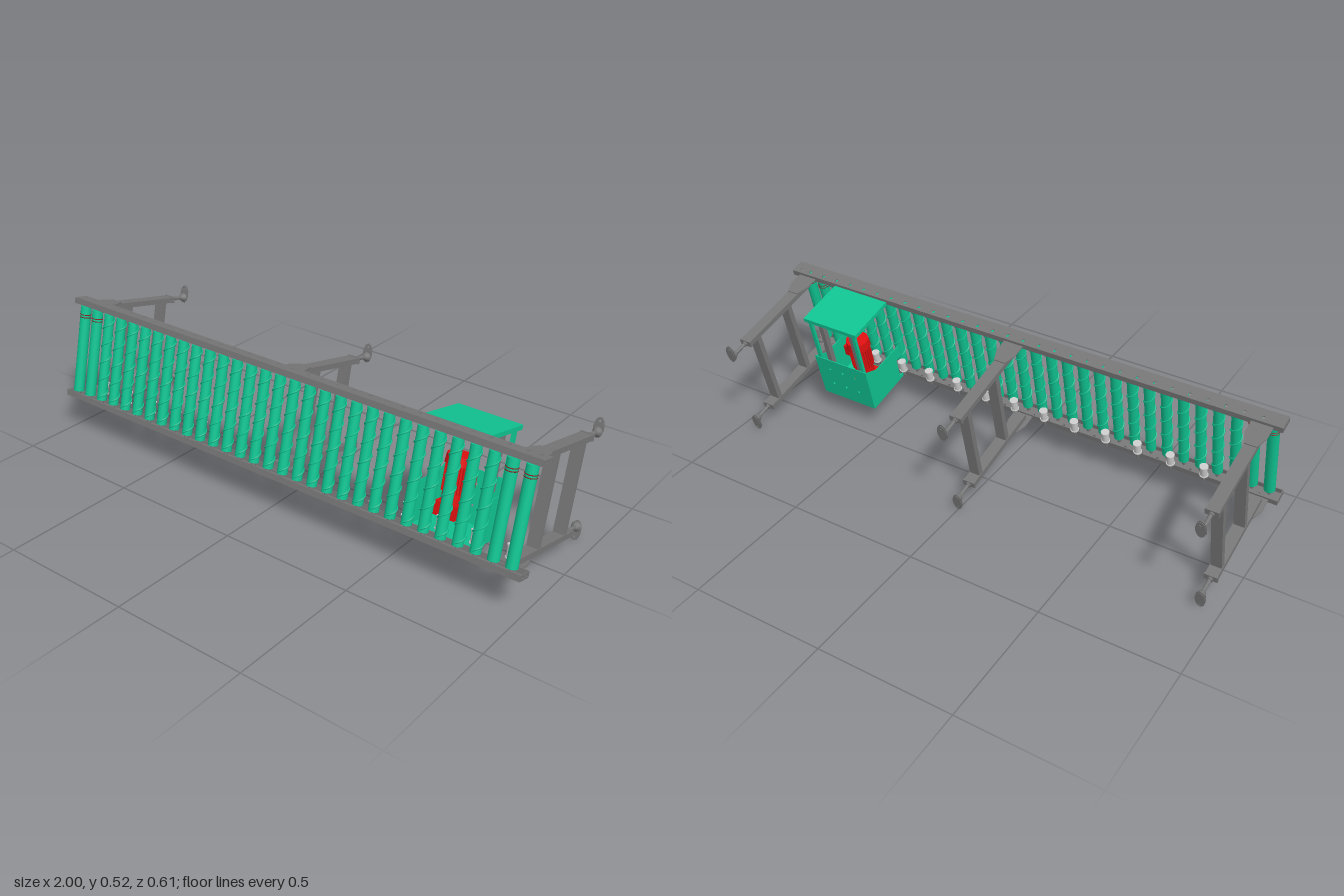
import * as THREE from 'three';

const mat = (color, side = THREE.FrontSide) => new THREE.MeshStandardMaterial({ color, side });
const GREEN = mat(0x10c492), STEEL = mat(0x777777), RED = mat(0xe01010), PALE = mat(0xcccccc), DARK = mat(0x882222);

function add(parent, name, geo, material, x = 0, y = 0, z = 0) {
  const m = new THREE.Mesh(geo, material);
  m.name = name;
  m.position.set(x, y, z);
  parent.add(m);
  return m;
}

// box given by its limits on each axis
function block(parent, name, material, [x0, x1], [y0, y1], [z0, z1]) {
  return add(parent, name, new THREE.BoxGeometry(x1 - x0, Math.abs(y1 - y0), z1 - z0), material,
    (x0 + x1) / 2, (y0 + y1) / 2, (z0 + z1) / 2);
}

const cyl = (rTop, rBottom, h, n = 24) => new THREE.CylinderGeometry(rTop, rBottom, h, n);
const polygon = pts => new THREE.Shape(pts.map(p => new THREE.Vector2(...p)));
const hole = (x, y, rx, ry) => new THREE.Path().absellipse(x, y, rx, ry, 0, Math.PI * 2);
const extrude = (shape, depth) => new THREE.ExtrudeGeometry(shape, { depth, bevelEnabled: false, curveSegments: 8 });

const COUNT = 31, PITCH = 0.0638, ROLL_Z = 0.315;
const rollerX = i => (i - (COUNT - 1) / 2) * PITCH;

// spiral rib wound round a roller
class Helix extends THREE.Curve {
  getPoint(t, out = new THREE.Vector3()) {
    const a = t * Math.PI * 2 * 4.5;
    return out.set(0.0195 * Math.sin(a), (t - 0.5) * 0.31, 0.0195 * Math.cos(a));
  }
}

function addRollers(root) {
  const tube = cyl(0.0185, 0.0185, 0.334), axle = cyl(0.007, 0.007, 0.385, 8);
  const rib = new THREE.TubeGeometry(new Helix(), 90, 0.0032, 5);
  const plain = cyl(0.02, 0.02, 0.334), ring = new THREE.TorusGeometry(0.02, 0.0018, 6, 24).rotateX(Math.PI / 2);
  for (let i = 0; i < COUNT; i++) {
    const roller = new THREE.Group();
    roller.name = 'roller';
    roller.position.set(rollerX(i), 0, ROLL_Z);
    root.add(roller);
    const end = i < 2 || i > COUNT - 3;
    add(roller, 'rollerTube', end ? plain : tube, GREEN);
    add(roller, 'axle', axle, STEEL);
    if (end) for (const y of [0.126, 0.136]) add(roller, 'beltGroove', ring, DARK, 0, y);
    else add(roller, 'spiralRib', rib, GREEN);
  }
  // small guide pulleys behind the lower roller ends
  const pulley = cyl(0.013, 0.013, 0.045, 16), flange = cyl(0.016, 0.016, 0.004, 16);
  for (let i = 1; i < COUNT - 1; i += 2) {
    const x = rollerX(i) + PITCH / 2;
    add(root, 'guidePulley', pulley, PALE, x, -0.138, 0.272);
    for (const y of [-0.158, -0.116]) add(root, 'pulleyFlange', flange, PALE, x, y, 0.272);
    add(root, 'pulleyPin', cyl(0.005, 0.005, 0.03, 8), STEEL, x, -0.172, 0.272);
  }
}

// channel rail with slotted web; s = 1 upper, -1 lower
function addRail(root, s) {
  const web = polygon([[-1, 0.278], [1, 0.278], [1, 0.335], [-1, 0.335]]);
  for (let i = 0; i < COUNT; i++) web.holes.push(hole(rollerX(i) + PITCH / 2 * (i < COUNT - 1 ? 1 : 0.3), 0.296, 0.006, 0.007));
  add(root, 'railWeb', extrude(web, 0.003).rotateX(Math.PI / 2), STEEL, 0, s > 0 ? 0.194 : -0.191);
  for (const z of [0.278, 0.332]) block(root, 'railFlange', STEEL, [-1, 1], [s * 0.172, s * 0.194], [z, z + 0.003]);
  // end plates with two bolt holes
  const cap = polygon([[0.278, -0.011], [0.335, -0.011], [0.335, 0.011], [0.278, 0.011]]);
  cap.holes.push(hole(0.294, 0, 0.004, 0.004), hole(0.316, 0, 0.004, 0.004));
  for (const x of [-0.997, 1]) add(root, 'railEndPlate', extrude(cap, 0.003).rotateY(-Math.PI / 2), STEEL, x, s * 0.183);
}

// one leg with gusset, collar, screw and foot
function addLeg(stand, s) {
  const y = s * 0.168;
  block(stand, 'legBeam', STEEL, [-0.022, 0.022], [y - 0.01, y + 0.01], [-0.107, 0.26]);
  const gusset = polygon([[-0.022, 0.18], [0.022, 0.18], [0.038, 0.225], [0.038, 0.29], [-0.038, 0.29], [-0.038, 0.225]]);
  add(stand, 'gusset', extrude(gusset, 0.004).rotateX(Math.PI / 2), STEEL, 0, s > 0 ? 0.183 : -0.179);
  block(stand, 'collar', STEEL, [-0.024, 0.024], [y - 0.012, y + 0.012], [-0.113, -0.103]);
  add(stand, 'screw', cyl(0.007, 0.007, 0.08, 10).rotateX(Math.PI / 2), STEEL, 0, y, -0.145);
  add(stand, 'lockNut', cyl(0.011, 0.011, 0.008, 6).rotateX(Math.PI / 2), STEEL, 0, y, -0.118);
  add(stand, 'footBell', cyl(0.009, 0.018, 0.02, 16).rotateX(Math.PI / 2), STEEL, 0, y, -0.179);
  // oval foot plates, reaching outward
  const oval = new THREE.Shape().absellipse(0, y + s * 0.014, 0.018, 0.036, 0, Math.PI * 2);
  oval.holes.push(hole(0, y + s * 0.037, 0.005, 0.005));
  for (const z of [-0.19, -0.196]) add(stand, 'footPlate', extrude(oval, 0.002), STEEL, 0, 0, z);
}

function addStand(root, x) {
  const stand = new THREE.Group();
  stand.name = 'stand';
  stand.position.x = x;
  root.add(stand);
  for (const s of [1, -1]) addLeg(stand, s);
  for (const z of [-0.07, 0.116]) block(stand, 'crossPost', STEEL, [-0.02, 0.02], [-0.16, 0.16], [z, z + 0.021]);
}

function addDrive(root) {
  const drive = new THREE.Group();
  drive.name = 'driveUnit';
  drive.position.x = 0.668;
  root.add(drive);
  const W = [-0.12, 0.12];
  // lid and floor trays
  for (const s of [1, -1]) {
    block(drive, 'coverPanel', GREEN, W, [s * 0.188, s * 0.192], [0.069, 0.27]);
    block(drive, 'coverLip', GREEN, W, [s * 0.176, s * 0.19], [0.069, 0.072]);
    for (const x of [-0.12, 0.117]) block(drive, 'coverSide', GREEN, [x, x + 0.003], [s * 0.176, s * 0.19], [0.069, 0.27]);
  }
  // notched side walls
  const side = polygon([[0.069, -0.176], [0.25, -0.176], [0.25, -0.094], [0.281, -0.094], [0.281, -0.04], [0.13, -0.036], [0.069, 0]]);
  for (const x of [-0.117, 0.12]) add(drive, 'boxSide', extrude(side, 0.003).rotateY(-Math.PI / 2), GREEN, x);
  // perforated back wall
  const back = polygon([[-0.12, -0.18], [0.12, -0.18], [0.12, 0], [-0.12, 0]]);
  for (const x of [-0.06, 0, 0.06]) for (const y of [-0.125, -0.05]) back.holes.push(hole(x, y, 0.005, 0.005));
  add(drive, 'boxBack', extrude(back, 0.003), GREEN, 0, 0, 0.069);
  // uprights between box and lid
  for (const x of [-0.1, 0.1]) {
    block(drive, 'coverStrut', GREEN, [x - 0.007, x + 0.007], [-0.02, 0.18], [0.075, 0.086]);
    block(drive, 'motorBracket', STEEL, [x * 0.7 - 0.01, x * 0.7 + 0.01], [-0.045, 0.16], [0.093, 0.113]);
  }
  // finned motor with fan cowl and terminal box
  const motor = new THREE.Group();
  motor.name = 'motor';
  motor.position.set(-0.03, 0, 0.162);
  drive.add(motor);
  add(motor, 'motorBody', cyl(0.036, 0.036, 0.14), RED, 0, -0.035);
  for (let i = 0; i < 24; i++) {
    const a = i / 24 * Math.PI * 2;
    add(motor, 'coolingFin', new THREE.BoxGeometry(0.003, 0.1, 0.008), RED, 0.038 * Math.sin(a), -0.015, 0.038 * Math.cos(a)).rotation.y = a;
  }
  add(motor, 'fanCowl', cyl(0.043, 0.046, 0.032), RED, 0, 0.047);
  add(motor, 'terminalBox', new THREE.BoxGeometry(0.035, 0.045, 0.025), RED, 0.05, -0.01);
  add(motor, 'gearHousing', new THREE.BoxGeometry(0.08, 0.05, 0.075), RED, 0, -0.125);
}

export function createModel() {
  const model = new THREE.Group();
  model.name = 'rollerConveyor';
  // the whole frame lies tipped on its side
  const tilt = new THREE.Group();
  tilt.name = 'tiltedFrame';
  tilt.rotation.x = -0.232;
  model.add(tilt);
  const frame = new THREE.Group();
  frame.name = 'frame';
  frame.position.y = 0.2645;
  tilt.add(frame);

  addRollers(frame);
  for (const s of [1, -1]) addRail(frame, s);
  for (const x of [-0.93, 0, 0.93]) addStand(frame, x);
  addDrive(frame);

  // rest on the ground
  model.updateMatrixWorld(true);
  tilt.position.y = -new THREE.Box3().setFromObject(model, true).min.y;
  return model;
}
